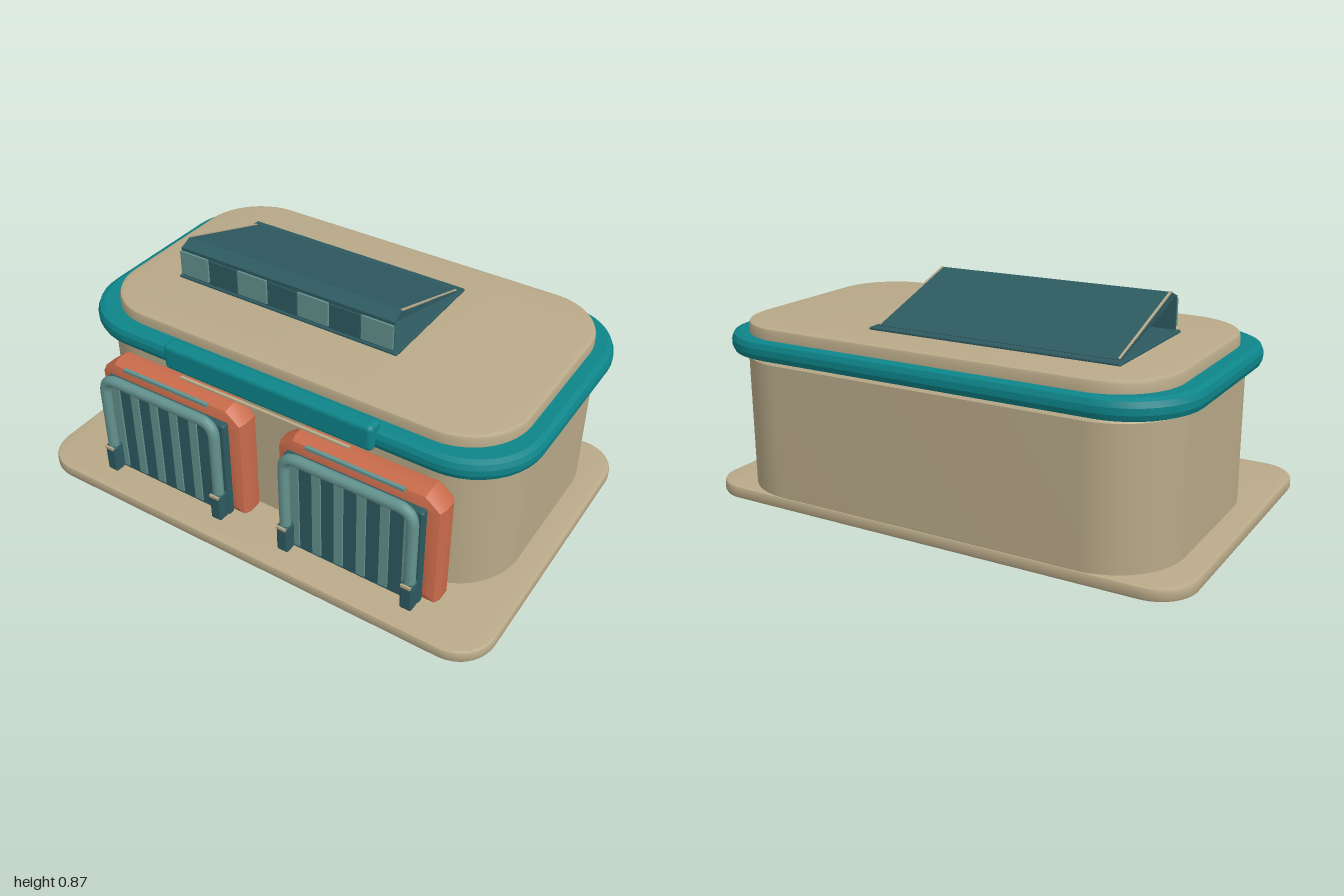
import * as THREE from 'three';
import { toCreasedNormals } from 'three/addons/utils/BufferGeometryUtils.js';
import { RoundedBoxGeometry } from 'three/addons/geometries/RoundedBoxGeometry.js';

const mat = (name, color, side = THREE.FrontSide) => {
  const m = new THREE.MeshStandardMaterial({ color, side });
  m.name = name;
  return m;
};

// Rounded rectangle outline, centred on the origin
function roundedRect(w, d, r, Type = THREE.Shape) {
  const s = new Type(), x = w / 2, y = d / 2;
  s.moveTo(-x + r, -y);
  s.absarc(x - r, -y + r, r, -Math.PI / 2, 0);
  s.absarc(x - r, y - r, r, 0, Math.PI / 2);
  s.absarc(-x + r, y - r, r, Math.PI / 2, Math.PI);
  s.absarc(-x + r, -y + r, r, Math.PI, Math.PI * 1.5);
  s.closePath();
  return s;
}

// Horizontal bevelled slab between y0 and y1
function slab(shape, y0, y1, z, bevel, curveSegments, bevelSegments = 2, crease = 0.5) {
  const g = new THREE.ExtrudeGeometry(shape, {
    depth: y1 - y0 - 2 * bevel, bevelEnabled: true, bevelThickness: bevel,
    bevelSize: bevel, bevelOffset: -bevel, bevelSegments, curveSegments,
  });
  g.rotateX(-Math.PI / 2);
  g.translate(0, y0 + bevel, z);
  return toCreasedNormals(g, crease);
}

export function createModel() {
  const tan = mat('tan plaster', 0xb8a988);
  const teal = mat('bright teal', 0x0d858a);
  const dark = mat('dark teal', 0x2d5a60);
  const light = mat('pale teal', 0x64938f);
  const orange = mat('terracotta', 0xc96b4b);

  const model = new THREE.Group();
  model.name = 'garage';
  const add = (parent, name, geo, material, x = 0, y = 0, z = 0) => {
    const m = new THREE.Mesh(geo, material);
    m.name = name;
    m.position.set(x, y, z);
    parent.add(m);
    return m;
  };
  const box = (w, h, d) => new THREE.BoxGeometry(w, h, d);

  // Ground slab, walls, ring band and roof
  add(model, 'groundSlab', slab(roundedRect(2, 1.3, 0.15), 0, 0.05, 0.015, 0.012, 6), tan);
  add(model, 'walls', slab(roundedRect(1.8, 1.035, 0.27), 0.01, 0.61, -0.113, 0.04, 10, 1), tan);
  const ring = roundedRect(1.91, 1.105, 0.28);
  ring.holes.push(roundedRect(1.68, 0.88, 0.2, THREE.Path));
  add(model, 'ringBand', slab(ring, 0.585, 0.665, -0.1125, 0.028, 5, 2, 0.35), teal);
  add(model, 'roof', slab(roundedRect(1.76, 1.0, 0.25), 0.6, 0.71, -0.13, 0.015, 8), tan);

  // Sign board over the doors
  add(model, 'signBoard', new RoundedBoxGeometry(0.905, 0.108, 0.07, 2, 0.02), teal, 0, 0.641, 0.431);
  add(model, 'signLip', box(0.74, 0.008, 0.012), tan, 0, 0.582, 0.47);

  // Two matching garage doors
  for (const side of [-1, 1]) {
    const door = new THREE.Group();
    door.name = side < 0 ? 'rightDoor' : 'leftDoor';
    door.position.x = side * 0.416;
    model.add(door);

    // Surround with clipped upper corners
    const w = 0.3, s = new THREE.Shape();
    [[-w, 0.08], [w, 0.08], [w, 0.468], [w - 0.042, 0.502], [-w + 0.042, 0.502], [-w, 0.468]]
      .forEach(([x, y], i) => (i ? s.lineTo(x, y) : s.moveTo(x, y)));
    const frame = new THREE.ExtrudeGeometry(s, {
      depth: 0.05, bevelEnabled: true, bevelThickness: 0.036, bevelSize: 0.038, bevelSegments: 2,
    });
    add(door, 'doorSurround', toCreasedNormals(frame, 0.5), orange, 0, 0, 0.419);
    add(door, 'topStrip', box(0.4, 0.012, 0.014), light, 0, 0.542, 0.512);

    // Panel and vertical slats
    add(door, 'doorPanel', new RoundedBoxGeometry(0.57, 0.44, 0.035, 2, 0.01), dark, 0, 0.27, 0.516);
    for (let i = 0; i < 6; i++)
      add(door, 'doorSlat', box(0.036, 0.41, 0.008), light, (i - 2.5) * 0.094, 0.275, 0.536);

    // Tubular guard bent at the top corners
    const a = 0.262, v = (x, y) => new THREE.Vector3(x, y, 0.562);
    const path = new THREE.CurvePath();
    path.add(new THREE.LineCurve3(v(-a, 0.08), v(-a, 0.45)));
    path.add(new THREE.QuadraticBezierCurve3(v(-a, 0.45), v(-a, 0.512), v(-a + 0.062, 0.512)));
    path.add(new THREE.LineCurve3(v(-a + 0.062, 0.512), v(a - 0.062, 0.512)));
    path.add(new THREE.QuadraticBezierCurve3(v(a - 0.062, 0.512), v(a, 0.512), v(a, 0.45)));
    path.add(new THREE.LineCurve3(v(a, 0.45), v(a, 0.08)));
    add(door, 'guardBar', new THREE.TubeGeometry(path, 80, 0.022, 10), light);
    for (const e of [-1, 1]) {
      add(door, 'guardFoot', new RoundedBoxGeometry(0.05, 0.122, 0.052, 2, 0.01), dark, e * a, 0.124, 0.563);
      add(door, 'footCap', box(0.04, 0.012, 0.008), tan, e * a, 0.18, 0.59);
    }
  }

  // Rooftop skylight: open-sided sloping hood on a thin plate
  const skylight = new THREE.Group();
  skylight.name = 'skylight';
  skylight.position.x = -0.181;
  model.add(skylight);
  add(skylight, 'skylightPlate', new RoundedBoxGeometry(1.005, 0.014, 0.53, 2, 0.006), dark, 0, 0.713, -0.187);
  const hoodSlice = (width) => {
    const s = new THREE.Shape();
    [[-0.068, 0.846], [0.41, 0.716], [0.42, 0.722], [-0.015, 0.868]]
      .forEach(([x, y], i) => (i ? s.lineTo(x, y) : s.moveTo(x, y)));
    const g = new THREE.ExtrudeGeometry(s, { depth: width, bevelEnabled: false });
    g.translate(0, 0, -width / 2);
    return g.rotateY(Math.PI / 2);
  };
  add(skylight, 'skylightHood', hoodSlice(0.97), dark);
  add(skylight, 'skylightWall', box(0.97, 0.13, 0.008), dark, 0, 0.781, 0.066);
  for (const e of [-1, 1]) {
    // Pale trim along each sloping edge
    const trim = add(skylight, 'hoodTrim', box(0.008, 0.006, 0.455), tan, e * 0.481, 0.796, -0.2);
    trim.rotation.x = -Math.atan2(0.146, 0.435);
  }
  for (let i = 0; i < 4; i++)
    add(skylight, 'skylightWindow', box(0.135, 0.103, 0.008), light, (i - 1.5) * 0.279, 0.783, 0.076);
  for (let i = 0; i < 3; i++)
    add(skylight, 'darkWindow', box(0.13, 0.095, 0.006), dark, (i - 1) * 0.279, 0.783, 0.073);

  return model;
}
